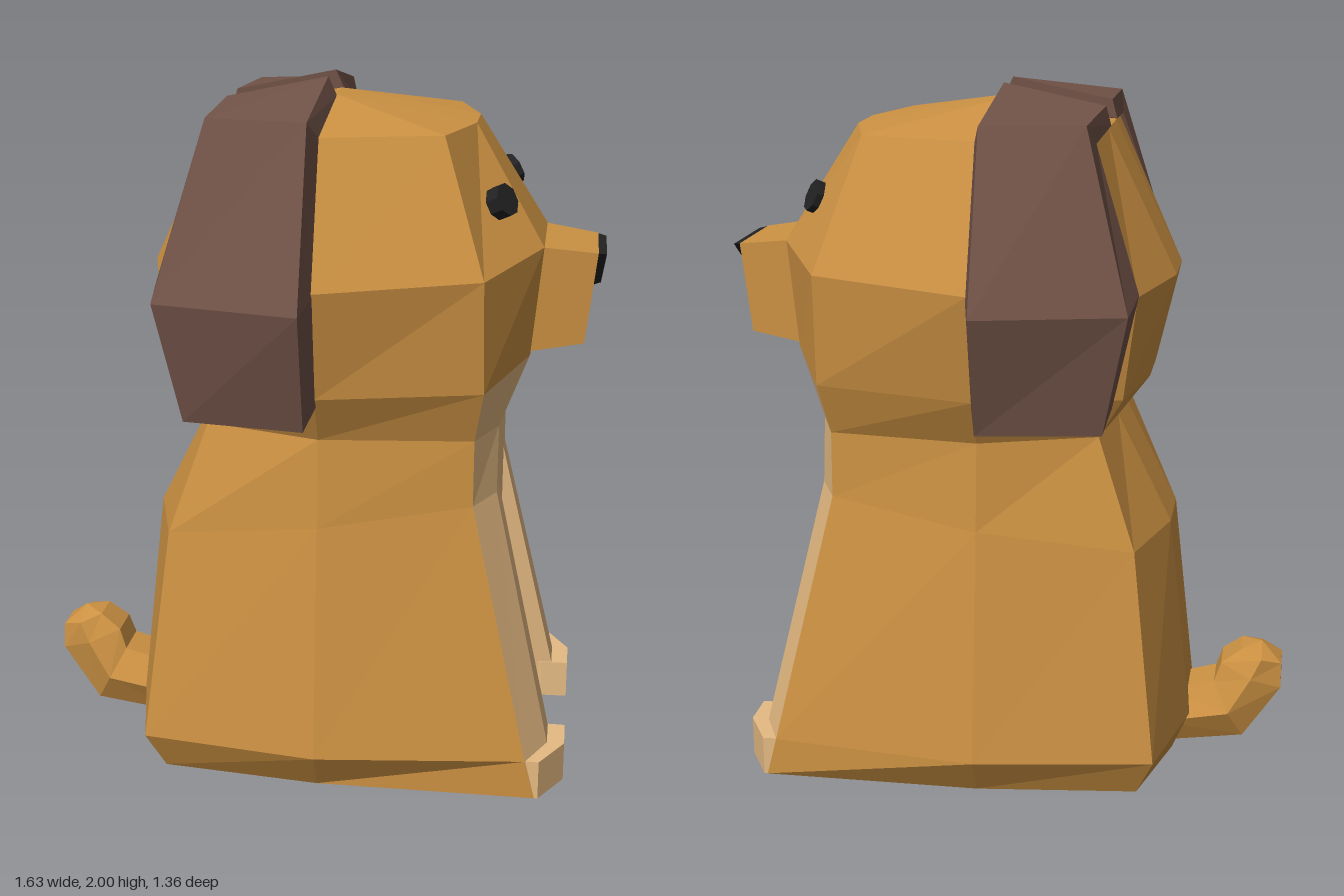
import * as THREE from 'three';

const mat = (color) => new THREE.MeshStandardMaterial({ color, flatShading: true });
const FUR = mat(0xcd9243), TAN = mat(0xe6bb83), EAR = mat(0x725348), BLACK = mat(0x222222);

const mirrorLoop = (loop) => loop.map(([x, y, z]) => [x, y, -z]).reverse();

// Skins consecutive loops (counterclockwise around the direction of travel).
// pick(row, column) selects which quads belong to this mesh.
function loft(name, rows, material, { pick = () => true, caps = false } = {}) {
  const pos = [];
  const v = (p) => new THREE.Vector3(...p);
  const tri = (a, b, c) => {
    const area = v(b).sub(v(a)).cross(v(c).sub(v(a))).length();
    if (area > 1e-7) pos.push(...a, ...b, ...c);
  };
  for (let r = 0; r < rows.length - 1; r++) {
    const lo = rows[r], hi = rows[r + 1], n = lo.length;
    for (let i = 0; i < n; i++) {
      if (!pick(r, i)) continue;
      const j = (i + 1) % n;
      tri(lo[i], lo[j], hi[j]);
      tri(lo[i], hi[j], hi[i]);
    }
  }
  if (caps) {
    const s = rows[0], e = rows[rows.length - 1];
    for (let i = 1; i < s.length - 1; i++) {
      tri(s[0], s[i + 1], s[i]);
      tri(e[0], e[i], e[i + 1]);
    }
  }
  const g = new THREE.BufferGeometry();
  g.setAttribute('position', new THREE.Float32BufferAttribute(pos, 3));
  g.computeVertexNormals();
  const mesh = new THREE.Mesh(g, material);
  mesh.name = name;
  return mesh;
}

// Half loop of the torso or head, from mid back round the side to mid front.
// The front is sunk between the legs, more so towards the ground.
function halfSection([yBack, yCheek, yFront, backX, cornerX, cornerZ, sideZ, cheekX, cheekZ, frontX, frontZ]) {
  const sunk = 0.2 * Math.max(0, 1 - yFront / 0.85);
  return [
    [backX, yBack, 0.1],
    [cornerX, yBack, cornerZ],
    [0.04, (yBack + yCheek) / 2, sideZ],
    [cheekX, yCheek, cheekZ],
    [frontX, yFront, frontZ],
    [frontX, yFront, frontZ * 0.66],
    [frontX - sunk, yFront, frontZ * 0.62],
  ];
}

// Four-cornered ear section: outer front, outer back, inner back, inner front
const earSection = ([y, backX, drop, zFront, zBack, yInner, zInnerFront, zInnerBack]) => [
  [0.02, y, zFront],
  [backX, y - drop, zBack],
  [backX - 0.015, yInner - drop, zInnerBack],
  [0.045, yInner, zInnerFront],
];

// Hexagonal tail section from its top point, bottom point and half width
function tailSection([topX, topY, lowX, lowY, w]) {
  const mid = [(topX + lowX) / 2, (topY + lowY) / 2], e = 0.6 * w;
  return [
    [topX, topY, e], [topX, topY, -e], [...mid, -w],
    [lowX, lowY, -e], [lowX, lowY, e], [...mid, w],
  ];
}

// Upright muzzle rectangle, leaning from a lower x to an upper x
const muzzleSection = (lowX, topX, low, top, z) =>
  [[topX, top, -z], [topX, top, z], [lowX, low, z], [lowX, low, -z]];

export function createModel() {
  const dog = new THREE.Group();
  dog.name = 'sittingDog';

  // Torso (four sections), then head (three sections and a crown ridge)
  const halves = [
    [0, 0, 0, -.5, -.42, .41, .465, .67, .468, .7, .34],
    [.115, .115, .115, -.55, -.47, .46, .54, .64, .47, .7, .34],
    [.73, .85, .85, -.48, -.4, .39, .46, .47, .385, .53, .25],
    [1.05, 1.04, 1.04, -.32, -.29, .34, .44, .47, .38, .53, .22],
    [1.17, 1.19, 1.24, -.41, -.36, .38, .51, .495, .43, .61, .18],
    [1.47, 1.51, 1.55, -.48, -.4, .42, .58, .49, .465, .64, .18],
    [1.88, 1.88, 1.88, -.28, -.26, .33, .43, .37, .345, .44, .09],
  ].map(halfSection);
  halves.push(Array(7).fill([.04, 1.95, .07]));
  const rows = halves.map((h) => [...h, ...mirrorLoop(h)]);
  const isChest = (r, i) => r < 4 && i >= 3 && i <= 9;
  dog.add(loft('bodyAndHead', rows, FUR, { pick: (r, i) => !isChest(r, i) }));
  dog.add(loft('chestAndFrontLegs', rows, TAN, { pick: isChest }));

  // Flat underside, notched between the front legs
  const base = new THREE.ShapeGeometry(new THREE.Shape(rows[0].map(([x, , z]) => new THREE.Vector2(x, z))));
  base.rotateX(Math.PI / 2);
  const underside = new THREE.Mesh(base, TAN);
  underside.name = 'underside';
  dog.add(underside);

  // Muzzle: tapered block whose front folds into four triangles
  const muzzle = [
    muzzleSection(.6, .62, 1.25, 1.552, .183),
    muzzleSection(.76, .79, 1.27, 1.53, .147),
    Array(4).fill([.78, 1.41, 0]),
  ];
  dog.add(loft('muzzle', muzzle, FUR, { pick: (r, i) => i !== 2 }));
  dog.add(loft('chin', muzzle, TAN, { pick: (r, i) => i === 2 }));

  // Nose: thin triangular plate
  const nose = [[.785, 1.53, .145, 1.405], [.813, 1.525, .13, 1.415]].map(
    ([x, top, z, tip]) => [[x, top, -z], [x, top, z], [x - .012, tip, 0]]);
  dog.add(loft('nose', nose, BLACK, { caps: true }));

  // Tail, curling up to a blunt tip
  const tail = [
    [-.48, .17, -.44, 0, .11],
    [-.62, .21, -.71, .04, .112],
    [-.64, .27, -.82, .2, .1],
    [-.7, .315, -.82, .275, .085],
  ].map(tailSection);
  tail.push(Array(6).fill([-.76, .325, 0]));
  dog.add(loft('tail', tail, FUR));

  const ear = [
    [2, -.27, .06, .08, .08, 1.945, .08, .08],
    [1.93, -.26, 0, .5, .45, 1.87, .42, .35],
    [1.45, -.39, 0, .68, .58, 1.48, .57, .44],
    [1.11, -.32, 0, .585, .53, 1.16, .49, .43],
  ].map(earSection);

  for (const [side, s] of [['left', -1], ['right', 1]]) {
    dog.add(loft(side + 'Ear', s > 0 ? ear : ear.map(mirrorLoop), EAR, { caps: true }));

    // Eye disc lying on the slanted face of the head
    const eye = new THREE.Mesh(new THREE.CylinderGeometry(.047, .047, .04, 8), BLACK);
    eye.name = side + 'Eye';
    eye.position.set(.522, 1.69, .255 * s);
    eye.quaternion.setFromUnitVectors(new THREE.Vector3(0, 1, 0),
      new THREE.Vector3(.784, .406, .469 * s).normalize());
    dog.add(eye);

    // Front paw
    const outline = [[.6, .465], [.68, .468], [.75, .34], [.75, .22], [.67, .218], [.6, .24]];
    const paw = new THREE.ExtrudeGeometry(
      new THREE.Shape(outline.map(([x, z]) => new THREE.Vector2(x, z * s))),
      { depth: .115, bevelEnabled: false });
    paw.rotateX(Math.PI / 2).translate(0, .115, 0);
    const pawMesh = new THREE.Mesh(paw, TAN);
    pawMesh.name = side + 'FrontPaw';
    dog.add(pawMesh);
  }
  return dog;
}
